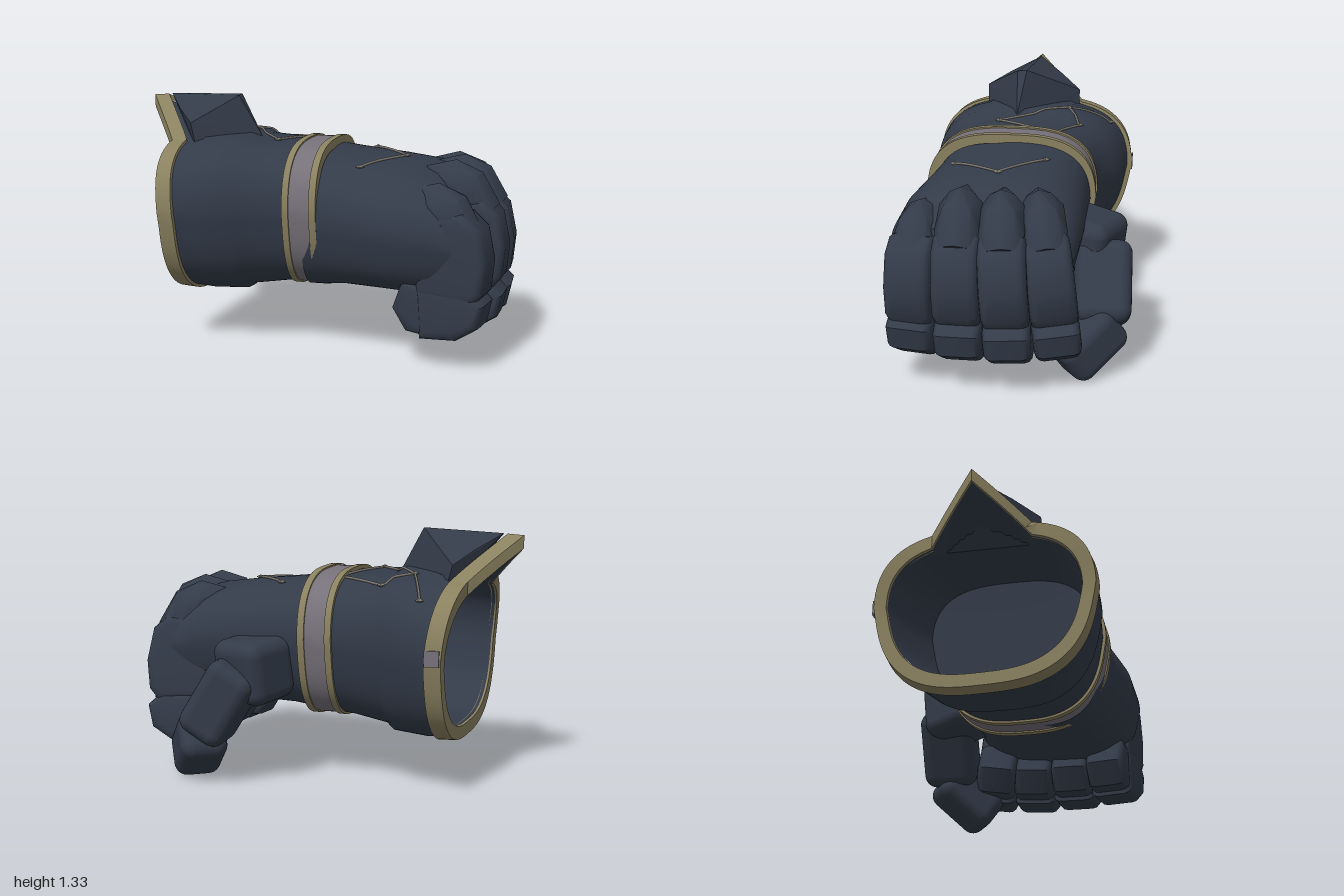
import * as THREE from 'three';
import { toCreasedNormals } from 'three/addons/utils/BufferGeometryUtils.js';
import { RoundedBoxGeometry } from 'three/addons/geometries/RoundedBoxGeometry.js';
import { ConvexGeometry } from 'three/addons/geometries/ConvexGeometry.js';

const paint = (name, color) => Object.assign(new THREE.MeshStandardMaterial({ color }), { name });
const V = (x, y, z) => new THREE.Vector3(x, y, z);
const SIDES = 96, YAW = 0.49;

// Skin a list of closed rings; outward when the rings advance toward +z.
function loft(rings, crease = 0.6) {
  const n = rings[0].length, pos = [], idx = [];
  rings.forEach(r => r.forEach(p => pos.push(p.x, p.y, p.z)));
  for (let k = 0; k < rings.length - 1; k++) {
    for (let i = 0; i < n; i++) {
      const j = (i + 1) % n, a = k * n + i, b = k * n + j;
      idx.push(a, b, b + n, a, b + n, a + n);
    }
  }
  const g = new THREE.BufferGeometry();
  g.setAttribute('position', new THREE.Float32BufferAttribute(pos, 3));
  g.setIndex(idx);
  return toCreasedNormals(g, crease);
}

// Rounded-square ring: centre x, centre y, half width, half height, z.
const POWER = 2.9;
function ring([cx, cy, hx, hy, z], grow = 0, rule) {
  const pts = [];
  for (let i = 0; i < SIDES; i++) {
    const t = i / SIDES * Math.PI * 2, c = Math.cos(t), s = Math.sin(t);
    const sx = Math.sign(c) * Math.abs(c) ** (2 / POWER);
    const sy = Math.sign(s) * Math.abs(s) ** (2 / POWER);
    const taper = 1 - 0.14 * Math.max(0, 0.15 - sy);
    const p = V(cx + (hx + grow) * sx * taper, cy + (hy + grow) * sy, z);
    if (rule) rule(p, s);
    pts.push(p);
  }
  return pts;
}
const point = (x, y, z) => Array.from({ length: SIDES }, () => V(x, y, z));

// Sections along the forearm and along the back of the hand.
const OPENING = [0.055, 0.68, 0.56, 0.415, 0];
const CUFF = [
  [0.045, 0.69, 0.545, 0.435, -0.66], [0.025, 0.695, 0.515, 0.43, -0.48],
  [0.015, 0.7, 0.485, 0.405, -0.44], [0, 0.71, 0.455, 0.385, -0.25], [0, 0.71, 0.435, 0.37, -0.1],
];
const HAND = [
  [0, 0.71, 0.435, 0.37, -0.1], [-0.02, 0.71, 0.455, 0.345, 0.1], [-0.05, 0.7, 0.485, 0.33, 0.35],
  [-0.06, 0.68, 0.485, 0.32, 0.58], [-0.05, 0.64, 0.45, 0.25, 0.74],
];
const handTilt = p => { p.y += 0.12 * Math.min(0, p.x); };

// The open end rises to a peak at the top.
const rimRule = dz => (p, s) => {
  const tent = s > 0 ? Math.max(0, 1 - Math.abs(p.x - 0.055) / 0.26) : 0;
  p.y += 0.2 * tent;
  p.z = -0.83 + 0.05 * p.x - 0.05 * Math.max(0, s) - 0.215 * tent + dz;
};

// Height of the upper surface at a spot.
function topY(rows, x, z) {
  let k = 0;
  while (k < rows.length - 2 && rows[k + 1][4] < z) k++;
  const t = THREE.MathUtils.clamp((z - rows[k][4]) / (rows[k + 1][4] - rows[k][4]), 0, 1);
  const [cx, cy, hx, hy] = rows[k].map((v, i) => v + (rows[k + 1][i] - v) * t);
  const d = Math.min(1, Math.abs((x - cx) / hx));
  return cy + hy * (1 - d ** POWER) ** (1 / POWER) + (rows === HAND ? 0.12 * Math.min(0, x) : 0);
}

// Beveled finger plate from a side profile of [z, y] points, pivoted inside the fist.
const PIVOT = V(0, 0.5, 0.7);
function plate(profile, width) {
  const bevel = 0.045;
  const g = new THREE.ExtrudeGeometry(new THREE.Shape(profile.map(p => new THREE.Vector2(...p))), {
    depth: width - 2 * bevel, bevelEnabled: true, bevelSize: bevel, bevelThickness: bevel,
    bevelOffset: -bevel * 0.75, bevelSegments: 3,
  });
  g.translate(0, 0, bevel - width / 2).rotateY(-Math.PI / 2).translate(0, -PIVOT.y, -PIVOT.z);
  return toCreasedNormals(g, 0.7);
}

export function createModel() {
  const navy = paint('navy leather', 0x333b49), gold = paint('dull gold trim', 0x8a8160);
  const grey = paint('grey band', 0x77727a), star = paint('star thread', 0x7b766e);
  const root = new THREE.Group(), arm = new THREE.Group();
  root.name = 'gauntlet';
  arm.name = 'forearmAndFist';
  arm.rotation.y = YAW;
  root.add(arm);
  const add = (name, geo, mat, parent = arm) => {
    const m = new THREE.Mesh(geo, mat);
    m.name = name;
    parent.add(m);
    return m;
  };

  // Hollow cuff with its gold edge
  add('cuff', loft([ring(OPENING, 0, rimRule(0.06)), ...CUFF.map(r => ring(r))]), navy);
  const lining = [ring(OPENING, -0.06, rimRule(0.01)), ring([0.04, 0.69, 0.485, 0.37, -0.62]),
    ring([0.01, 0.7, 0.43, 0.35, -0.38]), point(0, 0.7, -0.37)];
  add('cuffLining', loft(lining.reverse()), navy);
  add('cuffRim', loft([ring(OPENING, -0.06, rimRule(0.03)), ring(OPENING, -0.055, rimRule(0)),
    ring(OPENING, 0.012, rimRule(0)), ring(OPENING, 0.018, rimRule(0.085)), ring(OPENING, -0.01, rimRule(0.09))]), gold);
  add('rimPatch', new THREE.BoxGeometry(0.009, 0.08, 0.075), grey).position.set(0.63, 0.75, -0.757);

  // Raised roof-shaped plate that runs back to the rim's peak
  const roof = [[-0.02, 1.1, -0.43], [-0.035, 1.325, -0.56], [0.02, 1.33, -0.56], [0.06, 1.315, -0.99],
    [-0.23, 1.19, -0.77], [-0.23, 1.05, -0.74], [0.31, 1.17, -0.78], [0.31, 1.05, -0.75],
    [-0.1, 1.25, -0.88], [0.2, 1.24, -0.87]];
  add('cuffTopPlate', toCreasedNormals(new ConvexGeometry(roof.map(p => V(...p))), 0.4), navy);

  // Wrist band between two gold trims
  const hoop = (z0, z1, out) => loft([[z0, -0.03], [z0, out], [z1, out], [z1, -0.03]]
    .map(([z, g]) => ring([0, 0.715, 0.445, 0.375, z], g)));
  add('wristBand', hoop(-0.165, -0.035, 0.012), grey);
  add('wristTrimBack', hoop(-0.19, -0.155, 0.02), gold);
  add('wristTrimFront', hoop(-0.045, -0.008, 0.02), gold);

  // Hand body
  add('hand', loft([...HAND.map(r => ring(r, 0, handTilt)), point(-0.05, 0.62, 0.8)]), navy);

  // Four curled fingers, each with a pointed knuckle guard
  const upper = [[0.6, 0.82], [0.83, 0.84], [0.91, 0.77], [0.945, 0.6], [0.93, 0.45], [0.88, 0.39], [0.6, 0.42]];
  const lower = [[0.6, 0.42], [0.86, 0.42], [0.935, 0.35], [0.91, 0.24], [0.8, 0.17], [0.62, 0.16]];
  const tip = [[0.68, 0.17], [0.68, 0.42], [0.52, 0.44], [0.47, 0.3], [0.54, 0.19]];
  const guard = [[0, 1.0, 0.52], [0, 1.04, 0.68], [0, 0.98, 0.82], [0, 0.82, 0.91]];
  [-1, 1].forEach(k => guard.push([k * 0.115, 0.94, 0.66], [k * 0.06, 1.01, 0.66], [k * 0.07, 0.97, 0.8],
    [k * 0.115, 0.85, 0.8], [k * 0.08, 0.8, 0.885], [k * 0.11, 0.78, 0.66]));
  const guardGeo = new ConvexGeometry(guard.map(p => V(...p).sub(PIVOT)));
  // x, guard drop, z shift, turn, lean
  [[-0.375, -0.09, -0.06, -0.15, 0], [-0.15, 0, -0.01, -0.04, 0.02], [0.075, 0, 0, 0.04, 0.06],
    [0.285, -0.01, -0.065, 0.16, 0.12]].forEach(([x, drop, dz, turn, lean], i) => {
    const f = new THREE.Group();
    f.name = 'finger' + (i + 1);
    f.position.set(x, PIVOT.y, PIVOT.z + dz);
    f.rotation.set(0, turn, lean);
    arm.add(f);
    add('upperPlate', plate(upper, 0.24), navy, f).position.y = drop * 0.4;
    add('lowerPlate', plate(lower, 0.24), navy, f);
    add('fingerTip', plate(tip, 0.22), navy, f);
    add('knuckleGuard', toCreasedNormals(guardGeo, 0.75), navy, f).position.y = drop;
  });

  // Thumb folded down beside the fist
  const thumb = new THREE.Group();
  thumb.name = 'thumb';
  root.add(thumb);
  const joint = (name, a, b, w, h) => {
    const m = add(name, new RoundedBoxGeometry(w, h, a.distanceTo(b) + 0.14, 4, 0.07), navy, thumb);
    m.position.copy(a).lerp(b, 0.5);
    m.lookAt(b);
  };
  joint('thumbBase', V(0.42, 0.62, 0), V(0.59, 0.6, -0.01), 0.33, 0.33);
  joint('thumbMiddle', V(0.61, 0.57, 0.02), V(0.69, 0.32, 0.15), 0.3, 0.27);
  joint('thumbTip', V(0.71, 0.25, 0.18), V(0.63, 0.12, 0.34), 0.25, 0.26);

  // Star patterns stitched on the upper surfaces, given as top-down [x, z]
  const c = Math.cos(YAW), s = Math.sin(YAW);
  const stitch = (name, rows, spots, links) => {
    const g = new THREE.Group();
    g.name = name;
    arm.add(g);
    const local = spots.map(([x, z]) => [c * x - s * z, s * x + c * z]);
    const on = (x, z) => V(x, topY(rows, x, z) + 0.004, z);
    local.forEach(([x, z]) => {
      const m = add('star', new THREE.OctahedronGeometry(0.026), star, g);
      m.position.copy(on(x, z));
      m.scale.y = 0.5;
    });
    links.forEach(([a, b]) => {
      const [p, q] = [local[a], local[b]], path = [];
      for (let i = 0; i <= 8; i++) path.push(on(p[0] + (q[0] - p[0]) * i / 8, p[1] + (q[1] - p[1]) * i / 8));
      add('thread', new THREE.TubeGeometry(new THREE.CatmullRomCurve3(path), 16, 0.007, 5), star, g);
    });
  };
  stitch('cuffStars', CUFF, [[0.13, -0.82], [-0.04, -0.63], [0.1, -0.53], [0.1, -0.24], [-0.24, -0.23]],
    [[0, 1], [1, 2], [2, 3], [3, 4], [4, 1]]);
  stitch('handStars', HAND, [[-0.16, 0.29], [0.16, 0.34], [0.26, 0.05]], [[0, 1], [1, 2]]);
  return root;
}
